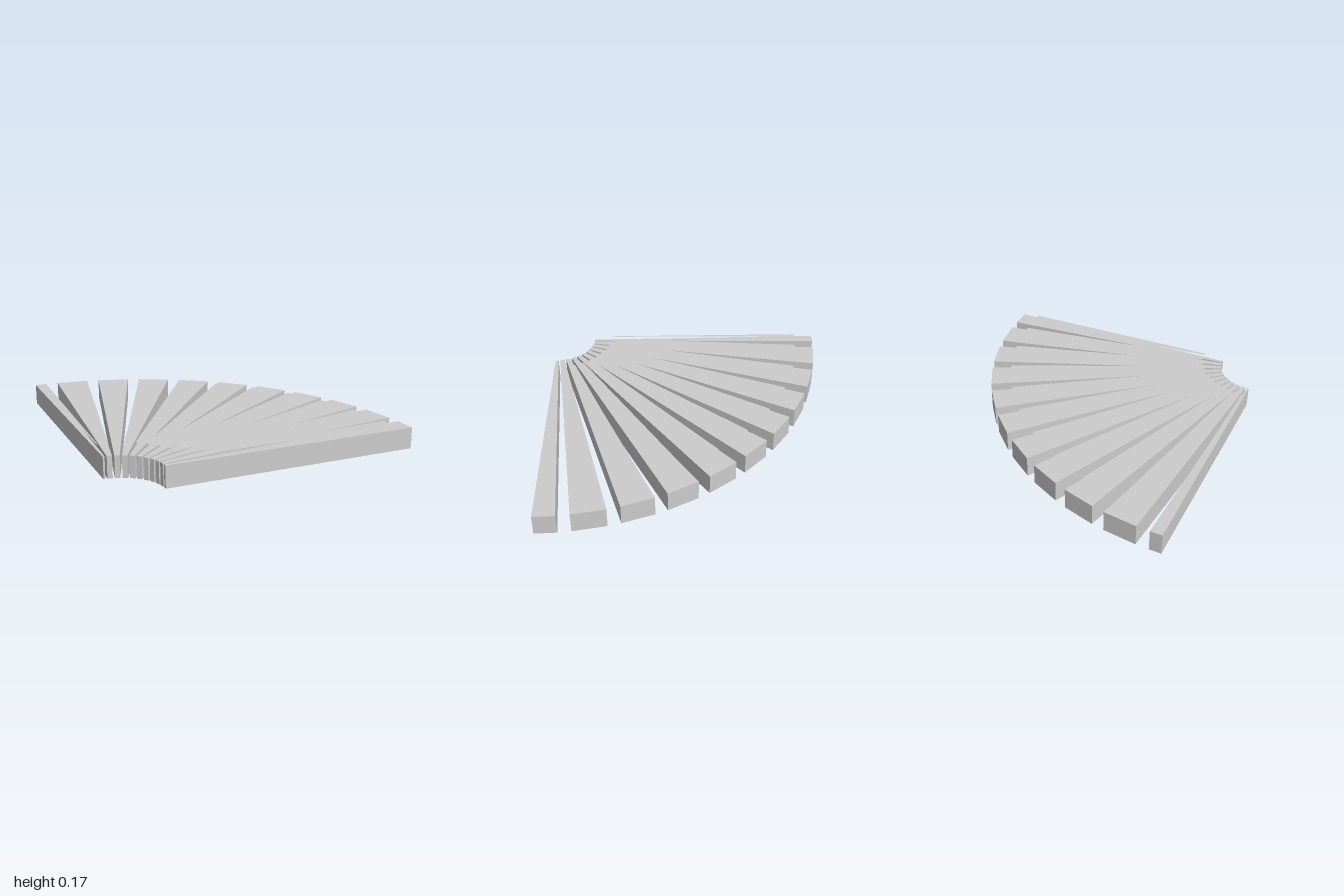
import * as THREE from 'three';

const HEIGHT = 0.143;     // slat thickness
const PANEL_Y = 0.174;    // panels hover just above the slats
const STEP = 9;           // degrees between slats

// Straight-ended wedge between two radii and two angles (degrees from the back),
// around the corner at x = -1, z = 1; shape y becomes -z.
function wedgeShape(r0, r1, a0, a1) {
  const at = (r, deg) => {
    const a = THREE.MathUtils.degToRad(deg);
    return new THREE.Vector2(-1 + r * Math.sin(a), -1 + r * Math.cos(a));
  };
  return new THREE.Shape([at(r0, a0), at(r0, a1), at(r1, a1), at(r1, a0)]);
}

export function createModel() {
  const model = new THREE.Group();
  model.name = 'fan';
  const grey = new THREE.MeshStandardMaterial({ color: 0xcccccc, side: THREE.DoubleSide });
  grey.name = 'grey';

  for (let k = 0; k <= 10; k++) {
    // The end slats are cut off at the quarter circle's straight sides
    const from = Math.max(0, k * STEP - 4.2);
    const to = Math.min(90, k * STEP + 2.3);

    // Solid slat
    const slatGeometry = new THREE.ExtrudeGeometry(wedgeShape(2 / 7, 2, from, to), {
      depth: HEIGHT, bevelEnabled: false,
    });
    slatGeometry.rotateX(-Math.PI / 2);
    const slat = new THREE.Mesh(slatGeometry, grey);
    slat.name = `slat${k + 1}`;

    // Flat inset panel above it
    const panelGeometry = new THREE.ShapeGeometry(wedgeShape(3 / 7, 13 / 7, from + 0.65, to - 0.65));
    panelGeometry.rotateX(-Math.PI / 2);
    const panel = new THREE.Mesh(panelGeometry, grey);
    panel.name = `panel${k + 1}`;
    panel.position.y = PANEL_Y;

    model.add(slat, panel);
  }
  return model;
}
